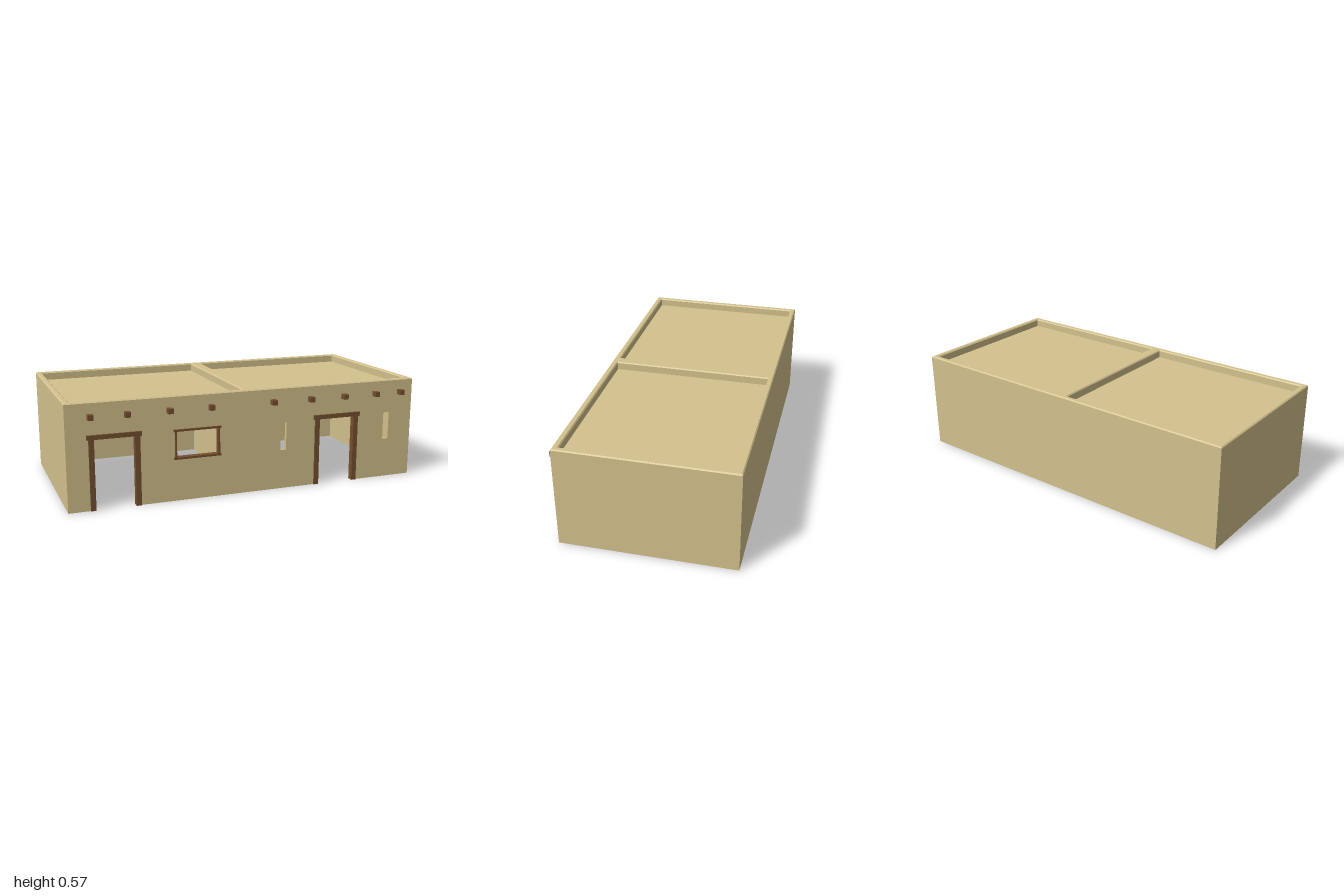
import * as THREE from 'three';

const adobe = new THREE.MeshStandardMaterial({ color: 0xd4c18d, flatShading: true });
const wood = new THREE.MeshStandardMaterial({ color: 0x75502f, flatShading: true });

const X = 1, BACK = -0.49, FRONT = 0.455, TOP = 0.57, WALL = 0.02, ROOF = 0.52;

export function createModel() {
  const model = new THREE.Group();

  const add = (name, geometry, material, parent = model) => {
    const mesh = new THREE.Mesh(geometry, material);
    mesh.name = name;
    parent.add(mesh);
  };
  // Box given by its limits on each axis
  const box = (name, x0, x1, y0, y1, z0, z1, material, parent) => {
    const g = new THREE.BoxGeometry(x1 - x0, y1 - y0, z1 - z0);
    g.translate((x0 + x1) / 2, (y0 + y1) / 2, (z0 + z1) / 2);
    add(name, g, material, parent);
  };
  const rect = (x0, x1, y0, y1, Type = THREE.Path) => {
    const p = new Type();
    p.moveTo(x0, y0).lineTo(x1, y0).lineTo(x1, y1).lineTo(x0, y1).closePath();
    return p;
  };

  // Front wall: door notches reach the ground, window and slits are holes
  const doors = [-0.75, 0.517];
  const face = new THREE.Shape();
  face.moveTo(-X, 0);
  for (const d of doors) {
    face.lineTo(d - 0.12, 0).lineTo(d - 0.12, 0.385).lineTo(d + 0.12, 0.385).lineTo(d + 0.12, 0);
  }
  face.lineTo(X, 0).lineTo(X, ROOF).lineTo(-X, ROOF).closePath();
  face.holes.push(
    rect(-0.425, -0.185, 0.235, 0.383),
    rect(0.175, 0.21, 0.22, 0.375),
    rect(0.82, 0.855, 0.225, 0.38)
  );
  const frontGeo = new THREE.ExtrudeGeometry(face, { depth: WALL, bevelEnabled: false });
  frontGeo.translate(0, 0, FRONT - WALL);
  add('frontWall', frontGeo, adobe);

  // Remaining walls and the partition between the two rooms
  box('backWall', -X, X, 0, ROOF, BACK, BACK + WALL, adobe);
  for (const [name, x] of [['rightWall', -X], ['leftWall', X - WALL], ['partition', -0.015]]) {
    box(name, x, x + WALL, 0, ROOF, BACK + WALL, FRONT - WALL, adobe);
  }

  // Sunken roof
  box('roof', -X + WALL, X - WALL, 0.51, 0.525, BACK + WALL, FRONT - WALL, adobe);

  // Parapet around both roof panels, with softened edges
  const soft = 0.006;
  const rim = rect(-X, X, -FRONT, -BACK, THREE.Shape);
  rim.holes.push(rect(-0.968, -0.036, -0.422, 0.46), rect(0.026, 0.968, -0.422, 0.46));
  const rimGeo = new THREE.ExtrudeGeometry(rim, {
    depth: TOP - ROOF - soft, bevelThickness: soft, bevelSize: soft, bevelOffset: -soft, bevelSegments: 1
  });
  rimGeo.rotateX(-Math.PI / 2).translate(0, ROOF, 0);
  add('parapet', rimGeo, adobe);

  // Wooden door frames
  const z0 = 0.428, z1 = 0.462;
  for (const d of doors) {
    const frame = new THREE.Group();
    frame.name = 'doorFrame';
    for (const s of [-1, 1]) {
      const x = d + s * 0.12;
      box('doorPost', x - 0.014, x + 0.014, 0, 0.376, z0, z1, wood, frame);
    }
    box('doorLintel', d - 0.143, d + 0.143, 0.376, 0.4, z0 - 0.002, z1 + 0.003, wood, frame);
    model.add(frame);
  }

  // Wooden window frame
  const frame = new THREE.Group();
  frame.name = 'windowFrame';
  for (const y of [0.228, 0.379]) box('windowRail', -0.436, -0.174, y, y + 0.011, z0, z1 + 0.002, wood, frame);
  for (const x of [-0.43, -0.19]) box('windowStile', x, x + 0.01, 0.239, 0.379, z0 + 0.002, z1, wood, frame);
  model.add(frame);

  // Roof beam ends projecting from the front
  for (const x of [-0.873, -0.683, -0.458, -0.23, 0.126, 0.35, 0.557, 0.757, 0.918]) {
    box('beamEnd', x - 0.014, x + 0.014, 0.482, 0.51, FRONT - 0.015, 0.49, wood);
  }

  return model;
}
